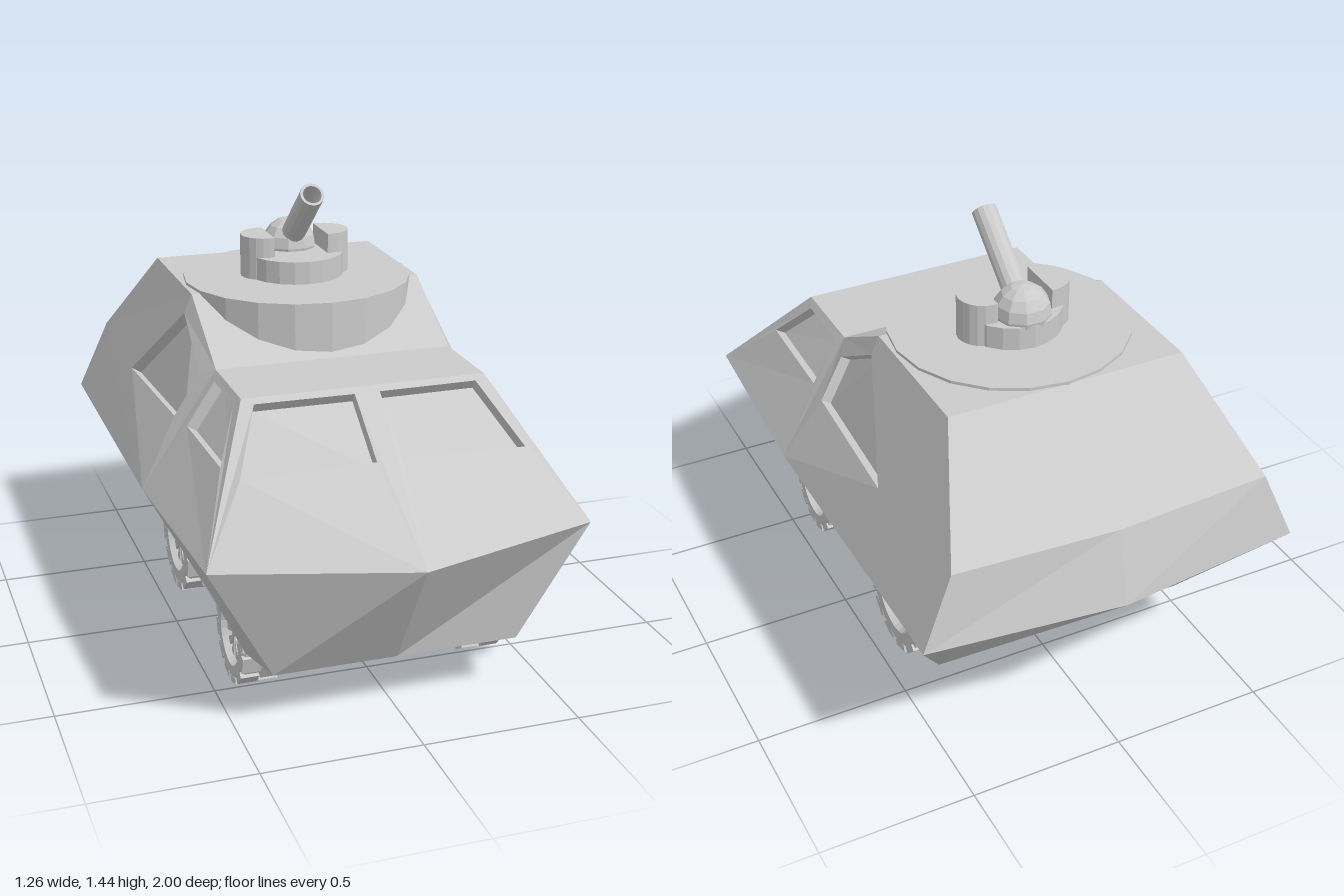
import * as THREE from 'three';
import { mergeGeometries } from 'three/addons/utils/BufferGeometryUtils.js';

const material = new THREE.MeshStandardMaterial({ color: 0xcccccc, flatShading: true, side: THREE.DoubleSide });
const BELT = 0.555, CAB = 0.935, ROOF = 1.1, FLOOR = 0.175, INSET = 0.037;
const { lerp, clamp } = THREE.MathUtils;
const toShape = pts => new THREE.Shape(pts.map(p => new THREE.Vector2(...p)));

function add(parent, name, geometry, x = 0, y = 0, z = 0) {
  const mesh = new THREE.Mesh(geometry, material);
  mesh.name = name;
  mesh.position.set(x, y, z);
  parent.add(mesh);
  return mesh;
}

// Half width at the belt line, height of the roof line, and the sloping side
const beltWidth = z => z > 0.15 ? lerp(0.632, 0.598, (z - 0.15) / 0.67) : lerp(0.632, 0.625, (0.15 - z) / 1.08);
const roofLine = z => lerp(CAB, ROOF, clamp((0.17 - z) / 0.29, 0, 1));
const sideX = (y, z) => lerp(0.39, beltWidth(z), (roofLine(z) - y) / (roofLine(z) - BELT));

// Triangles from a list of four-cornered faces
function quads(list) {
  const g = new THREE.BufferGeometry();
  const v = list.flatMap(([a, b, c, d]) => [a, b, c, a, c, d]).flat();
  g.setAttribute('position', new THREE.Float32BufferAttribute(v, 3));
  g.computeVertexNormals();
  return g;
}

// Bends a flat shape onto a hull surface
function mapped(shape, map) {
  const g = new THREE.ShapeGeometry(shape).toNonIndexed();
  const p = g.attributes.position;
  for (let i = 0; i < p.count; i++) p.setXYZ(i, ...map(p.getX(i), p.getY(i)));
  g.deleteAttribute('uv');
  g.computeVertexNormals();
  return g;
}

// Hull panel with a sunken window: skin, reveal and pane
function windowPanel(outline, hole, map, inset) {
  const skin = toShape(outline);
  skin.holes.push(toShape(hole));
  const sunk = (u, v) => map(u, v).map((c, i) => c + inset[i]);
  const reveal = hole.map((a, i) => {
    const b = hole[(i + 1) % hole.length];
    return [map(...a), map(...b), sunk(...b), sunk(...a)];
  });
  return mergeGeometries([mapped(skin, map), mapped(toShape(hole), sunk), quads(reveal)]);
}

// Mirror across x, keeping faces outward
function mirrored(geometry) {
  const g = geometry.clone(), p = g.attributes.position, src = geometry.attributes.position;
  for (let i = 0; i < p.count; i++) {
    const j = i % 3 === 1 ? i + 1 : i % 3 === 2 ? i - 1 : i;
    p.setXYZ(i, -src.getX(j), src.getY(j), src.getZ(j));
  }
  g.computeVertexNormals();
  return g;
}

// Lower hull: side profile with wheel tunnels, tapered towards the floor
function lowerHull() {
  const profile = [[0.82, BELT], [0.15, BELT], [-0.93, BELT], [-0.61, FLOOR],
    [-0.515, FLOOR], [-0.4, 0.41], [-0.14, 0.41], [-0.045, FLOOR],
    [0.26, FLOOR], [0.33, 0.365], [0.56, 0.365], [0.61, FLOOR], [0.77, FLOOR]];
  const g = new THREE.ExtrudeGeometry(toShape(profile.map(([z, y]) => [-z, y])),
    { depth: 2, steps: 2, bevelEnabled: false });
  g.translate(0, 0, -1).rotateY(Math.PI / 2);
  const p = g.attributes.position;
  for (let i = 0; i < p.count; i++) {
    const x = p.getX(i), y = p.getY(i), z = p.getZ(i);
    const floorWidth = z > 0.7 ? 0.39 : 0.43;
    p.setX(i, x * lerp(floorWidth, beltWidth(z), (y - FLOOR) / (BELT - FLOOR)));
    // pointed nose and tail
    if (Math.abs(x) < 1e-6 && y > 0.5 && Math.abs(z) > 0.7) p.setZ(i, Math.sign(z));
  }
  g.computeVertexNormals();
  return g;
}

// Roof strip from cab to tail; each row is half width, y, side z, centre z
function roof() {
  const rows = [[0.39, CAB, 0.46, 0.46], [0.39, CAB, 0.17, 0.17], [0.39, ROOF, -0.12, -0.12],
    [0.39, ROOF, -0.61, -0.61], [sideX(0.79, -0.905), 0.79, -0.905, -0.937], [0.625, BELT, -0.93, -1]]
    .map(([w, y, z, c]) => [[-w, y, z], [0, y, c], [w, y, z]]);
  const faces = [];
  for (let r = 0; r < rows.length - 1; r++)
    for (let i = 0; i < 2; i++) faces.push([rows[r][i], rows[r][i + 1], rows[r + 1][i + 1], rows[r + 1][i]]);
  return quads(faces);
}

function wheel(name, R) {
  const group = new THREE.Group();
  group.name = name;
  const h = 0.0625, rim = 0.64 * R;
  // tyre with a closed back and a dished rim
  const profile = [[0, -h], [0.86 * R, -h], [0.94 * R, -h + 0.015], [0.94 * R, h - 0.015],
    [0.86 * R, h], [rim, h], [0.56 * R, h - 0.03], [0, h - 0.03]].map(p => new THREE.Vector2(...p));
  add(group, 'tyre', new THREE.LatheGeometry(profile, 24).rotateZ(-Math.PI / 2));
  // staggered tread blocks
  const blocks = [], spokes = [], count = 12;
  for (let i = 0; i < count * 2; i++) {
    const g = new THREE.BoxGeometry(h * 0.96, 0.13 * R, 0.36 * R);
    g.translate((i % 2 ? 1 : -1) * h * 0.52, 0.92 * R, 0).rotateX(i / count * Math.PI);
    blocks.push(g);
  }
  add(group, 'treadBlocks', mergeGeometries(blocks));
  // wedge spokes
  const wedge = toShape([[0, 0.09 * R], [0.085 * R, 0.53 * R], [-0.085 * R, 0.53 * R]]);
  for (let i = 0; i < 11; i++) {
    const g = new THREE.ExtrudeGeometry(wedge, { depth: 0.014, bevelEnabled: false });
    spokes.push(g.rotateY(Math.PI / 2).translate(h - 0.031, 0, 0).rotateX(i / 11 * Math.PI * 2));
  }
  add(group, 'spokes', mergeGeometries(spokes));
  return group;
}

function turret() {
  const group = new THREE.Group();
  group.name = 'turret';
  add(group, 'turretRing', new THREE.CylinderGeometry(0.38, 0.38, 0.18, 20), 0, 1.02, -0.232);
  add(group, 'turretDrum', new THREE.CylinderGeometry(0.16, 0.16, 0.09, 20), 0, 1.14, -0.243);
  // round-backed cheeks either side of the gun
  const cheek = new THREE.Shape();
  cheek.moveTo(0.092, -0.08);
  cheek.lineTo(0.105, -0.08);
  cheek.absarc(0.105, 0, 0.08, -Math.PI / 2, Math.PI / 2);
  cheek.lineTo(0.092, 0.08);
  const block = new THREE.ExtrudeGeometry(cheek, { depth: 0.145, bevelEnabled: false, curveSegments: 5 });
  block.rotateX(-Math.PI / 2);
  add(group, 'leftCheek', block, 0, 1.105, -0.255);
  add(group, 'rightCheek', block, 0, 1.105, -0.255).rotation.y = Math.PI;
  add(group, 'gunBall', new THREE.SphereGeometry(0.092, 10, 8), 0, 1.193, -0.315);
  // hollow barrel
  const tube = [[0.04, 0], [0.04, 0.335], [0.031, 0.335], [0.031, 0.2], [0, 0.2]].map(p => new THREE.Vector2(...p));
  const barrel = add(group, 'gunBarrel', new THREE.LatheGeometry(tube, 14), 0, 1.2, -0.315);
  barrel.rotation.x = Math.atan2(0.255, 0.212);
  return group;
}

export function createModel() {
  const model = new THREE.Group();
  model.name = 'armouredCar';
  add(model, 'lowerHull', lowerHull());
  add(model, 'roof', roof());

  // Windowed panels, made for the left and mirrored to the right
  const sideMap = (u, v) => [sideX(v, -u), v, -u];
  const noseMap = (u, v) => [u, v, lerp(0.46, 1 - 0.3 * u, (CAB - v) / (CAB - BELT))];
  const sideInset = [-0.85 * INSET, -0.53 * INSET, 0];
  const panels = {
    Windscreen: windowPanel([[0, BELT], [0.598, BELT], [0.39, CAB], [0, CAB]],
      [[0.04, 0.775], [0.45, 0.755], [0.355, 0.92], [0.04, 0.92]], noseMap, [0, -0.82 * INSET, -0.57 * INSET]),
    CabSide: windowPanel([[-0.82, BELT], [-0.15, BELT], [-0.17, CAB], [-0.46, CAB]],
      [[-0.57, 0.77], [-0.2, 0.77], [-0.21, 0.91], [-0.43, 0.91]], sideMap, sideInset),
    RearSide: windowPanel([[-0.15, BELT], [0.93, BELT], [0.905, 0.79], [0.61, ROOF], [0.12, ROOF], [-0.17, CAB]],
      [[-0.095, 0.77], [0.42, 0.77], [0.12, 1.04], [-0.11, 0.905]], sideMap, sideInset),
  };
  for (const [name, geometry] of Object.entries(panels)) {
    add(model, 'left' + name, geometry);
    add(model, 'right' + name, mirrored(geometry));
  }

  for (const side of [1, -1]) {
    for (const [end, R, z] of [['Front', 0.157, 0.44], ['Rear', 0.186, -0.27]]) {
      const w = wheel((side > 0 ? 'left' : 'right') + end + 'Wheel', R);
      w.position.set(side * 0.372, R, z);
      if (side < 0) w.rotation.y = Math.PI;
      model.add(w);
    }
  }
  model.add(turret());
  return model;
}
